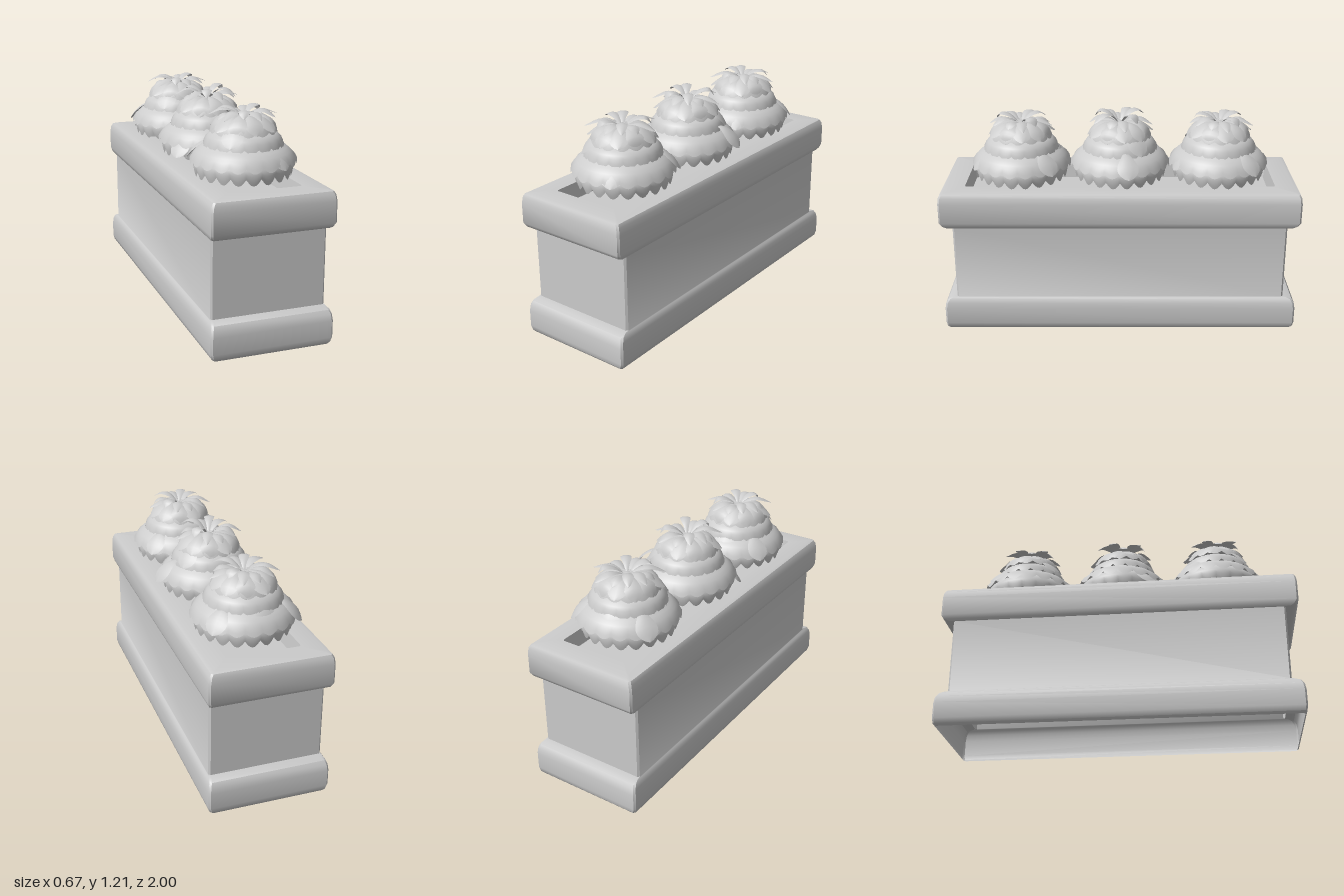
import * as THREE from 'three';
import { toCreasedNormals } from 'three/addons/utils/BufferGeometryUtils.js';

const stone = new THREE.MeshStandardMaterial({ color: 0xcccccc, side: THREE.DoubleSide });

function add(parent, name, geometry) {
  const mesh = new THREE.Mesh(geometry, stone);
  mesh.name = name;
  parent.add(mesh);
  return mesh;
}

// Skin over a stack of chamfered rectangles, each [y, half width, half depth]
function rectangleSkin(sections, c) {
  const pos = [], index = [];
  sections.forEach(([y, x, z], s) => {
    const loop = [[c - x, z], [x - c, z], [x, z - c], [x, c - z], [x - c, -z], [c - x, -z], [-x, c - z], [-x, z - c]];
    loop.forEach(([px, pz], i) => {
      pos.push(px, y, pz);
      if (s === 0) return;
      const j = (i + 1) % 8, a = (s - 1) * 8, b = s * 8;
      index.push(a + i, a + j, b + i, a + j, b + j, b + i);
    });
  });
  const g = new THREE.BufferGeometry();
  g.setAttribute('position', new THREE.Float32BufferAttribute(pos, 3));
  g.setIndex(index);
  return toCreasedNormals(g, 0.6);
}

// Dome-shaped tier of foliage with a scalloped hem
function foliageTier(profile, teeth, drop) {
  const curve = new THREE.SplineCurve(profile.map(([r, y]) => new THREE.Vector2(r, y)));
  const rows = 6;
  const g = new THREE.LatheGeometry(curve.getPoints(rows), teeth * 6);
  const p = g.attributes.position;
  for (let i = 0; i < p.count; i++) {
    const row = i % (rows + 1), column = Math.floor(i / (rows + 1));
    const cusp = 1 - Math.abs(Math.sin((column / 6) * Math.PI));
    const weight = Math.max(0, 1 - row / 3);
    p.setY(i, p.getY(i) + drop * cusp * weight);
  }
  return g;
}

// Curved leaf running outward along +z; path points are [distance, height]
function leafGeometry(path, width, cup = 0.12) {
  const curve = new THREE.SplineCurve(path.map(([r, y]) => new THREE.Vector2(r, y)));
  const g = new THREE.PlaneGeometry(1, 1, 4, 10);
  const p = g.attributes.position;
  for (let i = 0; i < p.count; i++) {
    const across = p.getX(i) * 2, t = 0.5 - p.getY(i);
    const spread = 0.12 + 0.88 * Math.sin(Math.PI * Math.pow(t, 1.5));
    const half = (width / 2) * spread * Math.sqrt(Math.max(0, 1 - Math.pow(t, 8)));
    const c = curve.getPoint(t);
    p.setXYZ(i, across * half, c.y - cup * width * across * across * spread, c.x);
  }
  g.computeVertexNormals();
  return g;
}

const TIERS = [
  [[[0.25, 0.83], [0.262, 0.88], [0.25, 0.93], [0.2, 0.97]], 20, 0.035],
  [[[0.28, 0.9], [0.262, 0.945], [0.225, 0.985], [0.16, 1.02]], 20, 0.025],
  [[[0.212, 0.985], [0.2, 1.025], [0.172, 1.06], [0.11, 1.085]], 18, 0.02],
  [[[0.175, 1.06], [0.158, 1.1], [0.12, 1.13], [0.0, 1.15]], 14, 0.018],
];

// One shrub: tiers, draped petals, a crown and a few loose leaves
function shrub(looseLeaves, lift) {
  const plant = new THREE.Group();
  plant.name = 'shrub';
  TIERS.forEach((tier) => add(plant, 'foliageTier', foliageTier(...tier)));

  const drapes = 11, crown = 12;
  for (let i = 0; i < drapes; i++) {
    const wobble = 0.012 * Math.sin(i * 2.3);
    const path = [[0.02, 1.152], [0.1, 1.15], [0.155, 1.118], [0.185 + wobble, 1.07 + wobble]];
    add(plant, 'drapedPetal', leafGeometry(path, 0.1)).rotation.y = (i / drapes) * Math.PI * 2;
  }
  for (let i = 0; i < crown; i++) {
    const h = lift * (0.5 + 0.5 * Math.sin(i * 1.9));
    const reach = 0.175 + 0.025 * Math.sin(i * 2.7);
    const path = [[0.005, 1.135], [0.06, 1.158 + h * 0.8], [0.12, 1.165 + h], [reach, 1.135 + h * 0.7]];
    add(plant, 'crownLeaf', leafGeometry(path, 0.06)).rotation.y = ((i + 0.3) / crown) * Math.PI * 2;
  }

  // Each loose leaf is given by its tip: x, z and height
  looseLeaves.forEach(([x, z, y]) => {
    const r = Math.hypot(x, z);
    const path = [[r - 0.15, y + 0.115], [r - 0.09, y + 0.1], [r - 0.035, y + 0.055], [r, y]];
    add(plant, 'looseLeaf', leafGeometry(path, 0.12)).rotation.y = Math.atan2(x, z);
  });
  return plant;
}

export function createModel() {
  const model = new THREE.Group();

  // Open-bottomed planter: foot moulding, walls, rim and inner lip
  add(model, 'planterBox', rectangleSkin([
    [0, 0.315, 0.985], [0.012, 0.326, 0.995], [0.04, 0.334, 1], [0.13, 0.334, 1],
    [0.165, 0.33, 0.994], [0.187, 0.322, 0.98], [0.197, 0.314, 0.955], [0.2, 0.312, 0.93],
    [0.625, 0.312, 0.93], [0.625, 0.318, 0.965], [0.636, 0.326, 0.985], [0.66, 0.334, 1],
    [0.77, 0.334, 1], [0.805, 0.328, 0.996], [0.822, 0.318, 0.988], [0.828, 0.3, 0.97],
    [0.828, 0.2, 0.865], [0.74, 0.19, 0.855],
  ], 0.01));

  const soil = add(model, 'soil', new THREE.PlaneGeometry(0.38, 1.71));
  soil.rotation.x = -Math.PI / 2;
  soil.position.y = 0.74;

  // Row of three shrubs
  const outer = [[-0.26, -0.17, 0.9], [0.235, -0.19, 0.9], [0.13, 0.26, 0.9], [-0.04, -0.25, 0.94], [-0.14, 0.17, 1.01]];
  const middle = [[0.325, -0.05, 0.91], [-0.25, 0.185, 0.85], [0.19, -0.12, 1.0]];
  [[-0.56, outer, 0.025], [0, middle, 0.045], [0.56, outer, 0.025]].forEach(([z, leaves, lift]) => {
    const plant = shrub(leaves, lift);
    plant.position.z = z;
    model.add(plant);
  });
  return model;
}
